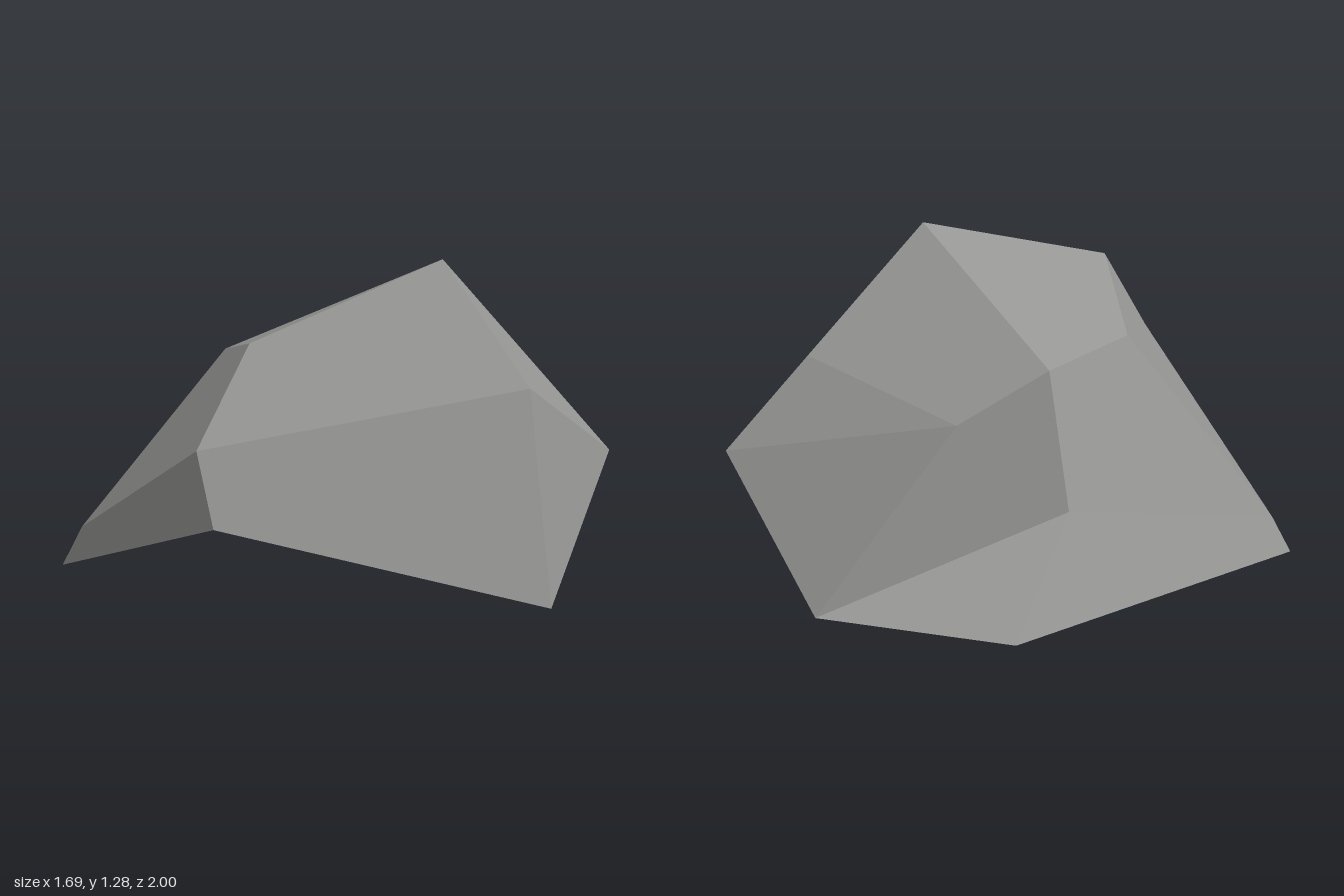
import * as THREE from 'three';

// Corners of the boulder
const corners = {
  peak: [0.34, 1.285, -0.16], topLeft: [-0.53, 0.89, -0.06], brow: [-0.3, 0.9, 0.42],
  browRight: [0.328, 1.07, 0.695], frontRight: [0.33, 0.72, 0.92], frontLow: [-0.64, 0.157, 0.92],
  toe: [-0.67, 0, 1], chin: [0.31, 0.41, 0.85], rightFoot: [0.843, 0, -0.305],
  shoulder: [0.63, 0.81, -0.36], backTip: [0.45, 0.41, -1], backFoot: [-0.35, 0.015, -0.93],
  backLeft: [-0.53, 0.74, -0.435], leftFoot: [-0.845, 0, -0.36], leftDent: [-0.62, 0.36, -0.02],
  ridge: [0.405, 0.775, -0.65],
};

// Flat facets, each fanned from its first corner
const facets = [
  'peak topLeft brow browRight', 'browRight frontRight shoulder peak',
  'brow browRight frontRight frontLow', 'frontLow toe chin frontRight',
  'frontRight chin rightFoot shoulder',
  'shoulder rightFoot backTip', 'shoulder backTip ridge peak',
  'ridge backLeft topLeft peak', 'ridge backTip backLeft',
  'backTip backFoot backLeft', 'leftDent topLeft backLeft backFoot',
  'leftDent backFoot leftFoot', 'leftDent frontLow toe leftFoot',
  'topLeft brow frontLow leftDent',
  'rightFoot backTip backFoot leftFoot',
  'chin toe leftFoot rightFoot', // hollow underside
];

function boulderGeometry() {
  const positions = [], normals = [];
  const centre = new THREE.Vector3(0, 0.45, 0);
  for (const facet of facets) {
    const loop = facet.split(' ').map((n) => new THREE.Vector3(...corners[n]));
    // One shared normal per facet
    const normal = new THREE.Vector3(), middle = new THREE.Vector3();
    loop.forEach((p, i) => {
      const a = p.clone().sub(centre);
      const b = loop[(i + 1) % loop.length].clone().sub(centre);
      normal.add(a.clone().cross(b));
      middle.add(a);
    });
    normal.normalize();
    // Turn the loop so that it faces outwards
    if (normal.dot(middle) < 0) {
      normal.negate();
      loop.push(...loop.splice(1).reverse());
    }
    for (let i = 1; i < loop.length - 1; i++) {
      for (const p of [loop[0], loop[i], loop[i + 1]]) {
        positions.push(p.x, p.y, p.z);
        normals.push(normal.x, normal.y, normal.z);
      }
    }
  }
  const geometry = new THREE.BufferGeometry();
  geometry.setAttribute('position', new THREE.Float32BufferAttribute(positions, 3));
  geometry.setAttribute('normal', new THREE.Float32BufferAttribute(normals, 3));
  return geometry;
}

export function createModel() {
  const group = new THREE.Group();
  group.name = 'rock';
  const stone = new THREE.MeshStandardMaterial({ color: 0x969694 });
  stone.name = 'stone grey';
  const boulder = new THREE.Mesh(boulderGeometry(), stone);
  boulder.name = 'boulder';
  group.add(boulder);
  return group;
}
